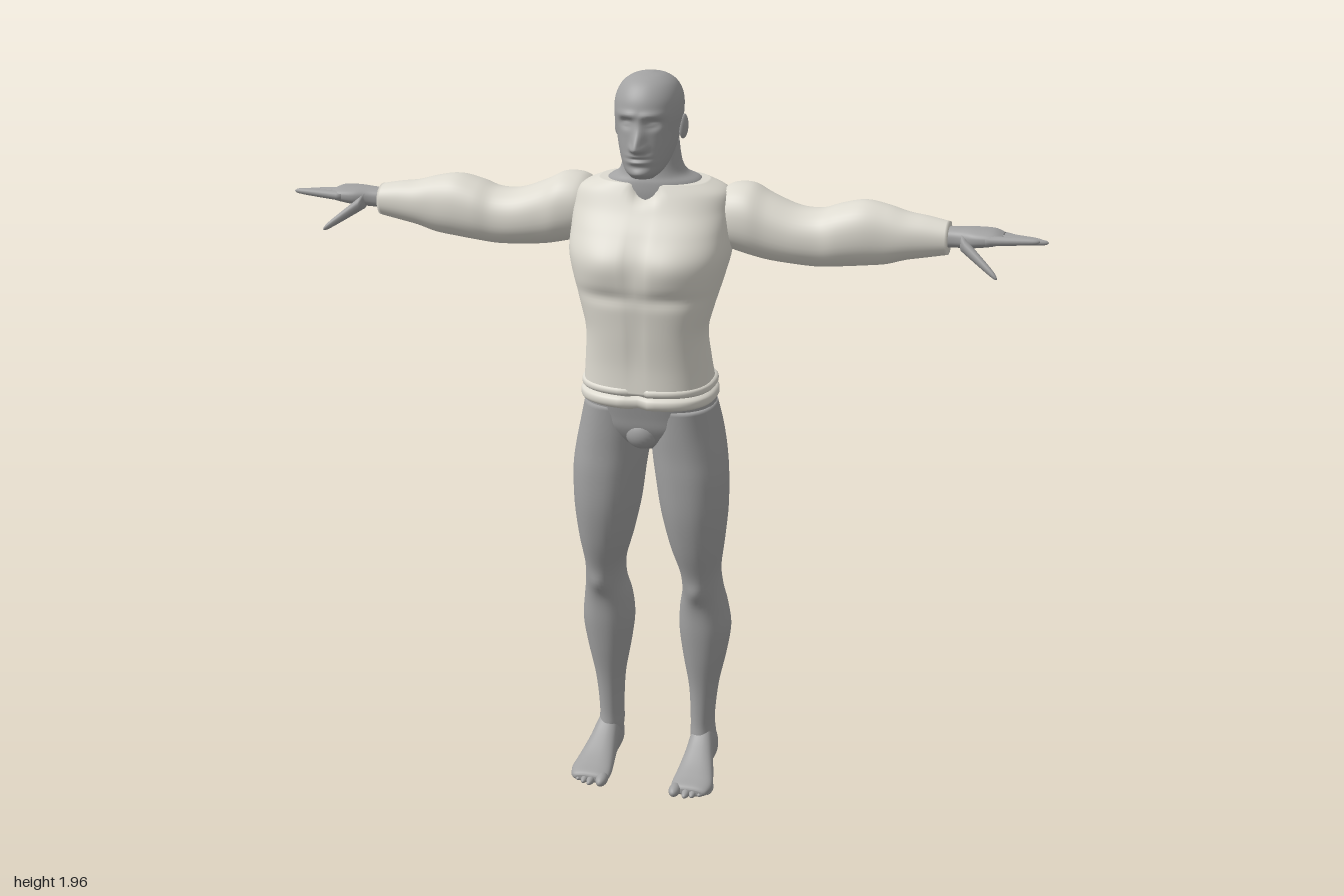
import * as THREE from 'three';

const material = (name, color) => {
  const m = new THREE.MeshStandardMaterial({ color });
  m.name = name;
  return m;
};
const bump = (d, s) => Math.exp(-(d * d) / (s * s));
const power = (v, p) => Math.sign(v) * Math.pow(Math.abs(v), p);

// Smooth interpolation through the rows of numbers
function sampleRows(rows, steps) {
  const out = [];
  const at = i => rows[Math.max(0, Math.min(rows.length - 1, i))];
  for (let i = 0; i < rows.length - 1; i++) {
    for (let s = 0; s < steps; s++) {
      const t = s / steps;
      out.push(rows[i].map((p1, k) => {
        const p0 = at(i - 1)[k], p2 = at(i + 1)[k], p3 = at(i + 2)[k];
        return p1 + 0.5 * t * (p2 - p0 + t * (2 * p0 - 5 * p1 + 4 * p2 - p3 + t * (3 * (p1 - p2) + p3 - p0)));
      }));
    }
  }
  out.push(rows[rows.length - 1]);
  return out;
}

// Skin over rounded sections: [position, aMin, aMax, bMin, bMax].
// Along y: a = x, b = z. Along x: a = z, b = y. Along z: a = y, b = x.
function loft(axis, rows, { n = 2.2, seg = 40, steps = 5, deform } = {}) {
  const place = {
    y: (h, a, b) => new THREE.Vector3(a, h, b),
    x: (h, a, b) => new THREE.Vector3(h, b, a),
    z: (h, a, b) => new THREE.Vector3(b, a, h),
  }[axis];
  const rings = sampleRows(rows, steps);
  const pos = [], index = [];
  const add = p => {
    if (deform) deform(p);
    pos.push(p.x, p.y, p.z);
  };
  for (const [h, a0, a1, b0, b1] of rings) {
    for (let j = 0; j < seg; j++) {
      const q = (j / seg) * Math.PI * 2;
      add(place(h,
        (a0 + a1) / 2 + (a1 - a0) / 2 * power(Math.cos(q), 2 / n),
        (b0 + b1) / 2 + (b1 - b0) / 2 * power(Math.sin(q), 2 / n)));
    }
  }
  for (const [h, a0, a1, b0, b1] of [rings[0], rings[rings.length - 1]]) {
    add(place(h, (a0 + a1) / 2, (b0 + b1) / 2));
  }
  const last = (rings.length - 1) * seg, cap = rings.length * seg;
  for (let j = 0; j < seg; j++) {
    const k = (j + 1) % seg;
    for (let i = 0; i < last; i += seg) {
      index.push(i + j, i + seg + j, i + k, i + k, i + seg + j, i + seg + k);
    }
    index.push(cap, j, k, cap + 1, last + k, last + j);
  }
  const g = new THREE.BufferGeometry();
  g.setAttribute('position', new THREE.Float32BufferAttribute(pos, 3));
  g.setIndex(index);
  g.computeVertexNormals();
  return g;
}

function mirrored(g) {
  const m = g.clone().scale(-1, 1, 1);
  const ix = m.index.array;
  for (let i = 0; i < ix.length; i += 3) [ix[i], ix[i + 1]] = [ix[i + 1], ix[i]];
  m.computeVertexNormals();
  return m;
}

// Tapered, round-ended finger running outward along x
function finger(a, b, r0, r1) {
  const rows = [[0, 1], [0.4, 1], [0.8, 0.95], [0.95, 0.7], [1, 0.15]].map(([t, f]) => {
    const [x, y, z] = a.map((v, i) => v + (b[i] - v) * t);
    const r = (r0 + (r1 - r0) * t) * f;
    return [x, z - r, z + r, y - r, y + r];
  });
  return loft('x', rows, { n: 2, seg: 12, steps: 3 });
}

const ball = (x, y, z, rx, ry, rz) =>
  new THREE.SphereGeometry(1, 24, 16).scale(rx, ry, rz).translate(x, y, z);

export function createModel() {
  const group = new THREE.Group();
  const body = material('body grey', 0xa2a2a2);
  const shirt = material('shirt cream', 0xdddad0);
  const add = (name, g, m) => {
    const mesh = new THREE.Mesh(g, m);
    mesh.name = name;
    group.add(mesh);
  };
  const pair = (name, g, m) => {
    add('left' + name, g, m);
    add('right' + name, mirrored(g), m);
  };
  const even = rows => rows.map(([h, w, z0, z1]) => [h, -w, w, z0, z1]);

  // Head with modelled face
  add('head', loft('y', even([
    [1.705, 0.028, 0.04, 0.1], [1.72, 0.046, 0, 0.112], [1.745, 0.06, -0.045, 0.116],
    [1.78, 0.071, -0.072, 0.115], [1.82, 0.079, -0.088, 0.113], [1.86, 0.085, -0.096, 0.115],
    [1.9, 0.083, -0.095, 0.107], [1.932, 0.068, -0.076, 0.085], [1.951, 0.042, -0.045, 0.055],
    [1.959, 0.01, -0.005, 0.018],
  ]), {
    n: 2.1, seg: 96, steps: 9,
    deform: p => {
      if (p.z < 0.03) return;
      const x = Math.abs(p.x), y = p.y;
      p.z += 0.036 * bump(x, 0.014) * bump(y - 1.785, y > 1.785 ? 0.04 : 0.011)
        + 0.01 * bump(x - 0.015, 0.008) * bump(y - 1.785, 0.009)
        - 0.017 * bump(x - 0.034, 0.018) * bump(y - 1.845, 0.012)
        + 0.008 * bump(x - 0.033, 0.013) * bump(y - 1.843, 0.006)
        + 0.007 * bump(x - 0.03, 0.028) * bump(y - 1.866, 0.009)
        + 0.009 * bump(x, 0.022) * (bump(y - 1.765, 0.006) + bump(y - 1.75, 0.006))
        - 0.006 * bump(x, 0.026) * bump(y - 1.7575, 0.003)
        - 0.004 * bump(x, 0.03) * bump(y - 1.737, 0.008)
        + 0.006 * bump(x, 0.022) * bump(y - 1.718, 0.01);
    },
  }), body);
  pair('Ear', ball(0, 0, 0, 0.009, 0.031, 0.018).rotateY(-0.3).rotateX(-0.15).translate(0.085, 1.823, -0.003), body);

  // Neck, showing through the open collar at front and back
  add('neck', loft('y', even([
    [1.59, 0.08, -0.14, 0.02], [1.62, 0.11, -0.156, 0.045], [1.65, 0.128, -0.154, 0.05],
    [1.68, 0.12, -0.135, 0.048], [1.7, 0.09, -0.102, 0.043], [1.73, 0.076, -0.077, 0.04],
    [1.79, 0.068, -0.07, 0.04],
  ]), { n: 2.3 }), body);

  // Shirt body with chest, ribs, spine groove and front collar notch
  add('shirtBody', loft('y', even([
    [1.15, 0.169, -0.135, 0.14], [1.22, 0.162, -0.105, 0.138], [1.3, 0.157, -0.085, 0.143],
    [1.36, 0.17, -0.097, 0.147], [1.43, 0.19, -0.125, 0.153], [1.5, 0.207, -0.15, 0.147],
    [1.56, 0.208, -0.161, 0.117], [1.61, 0.206, -0.16, 0.082], [1.655, 0.192, -0.147, 0.058],
    [1.68, 0.14, -0.132, 0.046],
  ]), {
    n: 2.6, seg: 80, steps: 8,
    deform: p => {
      const x = Math.abs(p.x), y = p.y;
      if (p.z > 0.03) {
        p.z += 0.012 * bump(x - 0.085, 0.07) * bump(y - 1.49, 0.05)
          - 0.008 * bump(x, 0.012) * bump(y - 1.5, 0.08)
          - 0.008 * bump(x - 0.08, 0.09) * bump(y - 1.405, 0.02)
          - 0.005 * bump(x, 0.015) * bump(y - 1.29, 0.1)
          - 0.035 * bump(x, 0.02) * bump(y - 1.663, 0.025);
      } else if (p.z < -0.03) {
        p.z += 0.024 * bump(x, 0.03) * bump(y - 1.38, 0.2)
          - 0.01 * bump(x - 0.1, 0.05) * bump(y - 1.52, 0.07);
      }
    },
  }), shirt);

  // Hem and waistband rolls, notched in the middle
  for (const [name, y, h, w] of [['shirtHem', 1.155, 0.014, 0.175], ['waistband', 1.125, 0.018, 0.178]]) {
    add(name, loft('y', even([
      [y - h, w - 0.015, -0.128, 0.128], [y - h * 0.6, w - 0.002, -0.143, 0.14],
      [y, w, -0.147, 0.144], [y + h * 0.6, w - 0.002, -0.142, 0.141], [y + h, w - 0.014, -0.126, 0.13],
    ]), { n: 2.6, seg: 64, steps: 3, deform: p => { p.z *= 1 - 0.1 * bump(p.x, 0.008); } }), shirt);
  }

  // Hips
  add('hips', loft('y', even([
    [0.975, 0.06, -0.08, 0.05], [1.0, 0.12, -0.115, 0.085], [1.04, 0.172, -0.133, 0.107],
    [1.08, 0.174, -0.136, 0.115], [1.13, 0.168, -0.13, 0.125],
  ]), { n: 2.5, seg: 64, deform: p => { if (p.z < 0) p.z += 0.035 * bump(p.x, 0.018); } }), body);
  add('frontBulge', ball(0, 1.03, 0.078, 0.046, 0.044, 0.038), body);

  // Legs
  pair('Leg', loft('y', [
    [0.04, 0.108, 0.165, -0.118, -0.02], [0.1, 0.1, 0.166, -0.124, -0.017],
    [0.15, 0.1, 0.163, -0.12, -0.02], [0.25, 0.095, 0.173, -0.126, -0.014],
    [0.35, 0.078, 0.194, -0.143, 0.002], [0.43, 0.068, 0.206, -0.15, 0.013],
    [0.5, 0.072, 0.199, -0.136, 0.02], [0.56, 0.083, 0.189, -0.115, 0.034],
    [0.62, 0.08, 0.186, -0.106, 0.054], [0.7, 0.056, 0.197, -0.11, 0.08],
    [0.8, 0.033, 0.207, -0.12, 0.1], [0.9, 0.018, 0.208, -0.118, 0.106],
    [0.97, 0.008, 0.2, -0.13, 0.106], [1.03, 0.004, 0.188, -0.138, 0.108], [1.1, 0.01, 0.172, -0.125, 0.11],
  ], {
    deform: p => {
      // Kneecap
      if (p.z > 0) p.z += 0.012 * bump(p.x - 0.135, 0.028) * bump(p.y - 0.565, 0.03);
    },
  }), body);

  // Feet and toes
  pair('Foot', loft('z', [
    [-0.132, 0.015, 0.05, 0.125, 0.15], [-0.122, 0.003, 0.085, 0.112, 0.163],
    [-0.09, 0, 0.125, 0.105, 0.168], [-0.045, 0.002, 0.135, 0.102, 0.17],
    [0, 0.004, 0.1, 0.098, 0.18], [0.05, 0, 0.066, 0.092, 0.193],
    [0.09, 0, 0.046, 0.088, 0.2], [0.12, 0.003, 0.034, 0.092, 0.192], [0.128, 0.01, 0.025, 0.11, 0.18],
  ], { n: 2.4 }), body);
  for (let i = 0; i < 5; i++) {
    const r = i ? 0.0115 - i * 0.0005 : 0.016;
    const x = i ? 0.117 + i * 0.0185 : 0.104;
    pair('Toe' + (i + 1), ball(x, r + 0.003, 0.125 - i * i * 0.0025, r, r, 0.03), body);
  }

  // Sleeves with shoulder, upper arm and forearm swells
  pair('Sleeve', loft('x', [
    [0.17, -0.145, 0, 1.52, 1.65], [0.2, -0.16, 0.014, 1.503, 1.67], [0.25, -0.161, 0.02, 1.49, 1.672],
    [0.3, -0.155, 0.015, 1.48, 1.648], [0.37, -0.15, 0.012, 1.474, 1.622],
    [0.43, -0.145, 0.01, 1.472, 1.62], [0.48, -0.144, 0.015, 1.477, 1.637],
    [0.54, -0.136, 0.013, 1.484, 1.65], [0.6, -0.125, 0.005, 1.492, 1.641],
    [0.65, -0.118, 0, 1.507, 1.627], [0.7, -0.11, -0.006, 1.517, 1.62], [0.755, -0.1, -0.012, 1.528, 1.61],
  ]), shirt);

  // Hands
  pair('Palm', loft('x', [
    [0.73, -0.084, -0.024, 1.546, 1.597], [0.78, -0.086, -0.016, 1.55, 1.6],
    [0.82, -0.095, -0.001, 1.554, 1.602], [0.865, -0.098, 0.002, 1.562, 1.6], [0.89, -0.09, -0.006, 1.57, 1.59],
  ], { n: 2.5 }), body);
  [[-0.088, 0.95, 1.565, -0.095], [-0.062, 0.985, 1.572, -0.072], [-0.036, 1, 1.578, -0.04], [-0.01, 0.982, 1.588, -0.006]]
    .forEach(([z, tip, y, tipZ], i) => pair('Finger' + (i + 1),
      finger([0.85, 1.58, z], [tip, y, tipZ], 0.0135, 0.008), body));
  pair('Thumb', finger([0.79, 1.57, -0.015], [0.888, 1.5, 0.04], 0.02, 0.009), body);

  return group;
}
